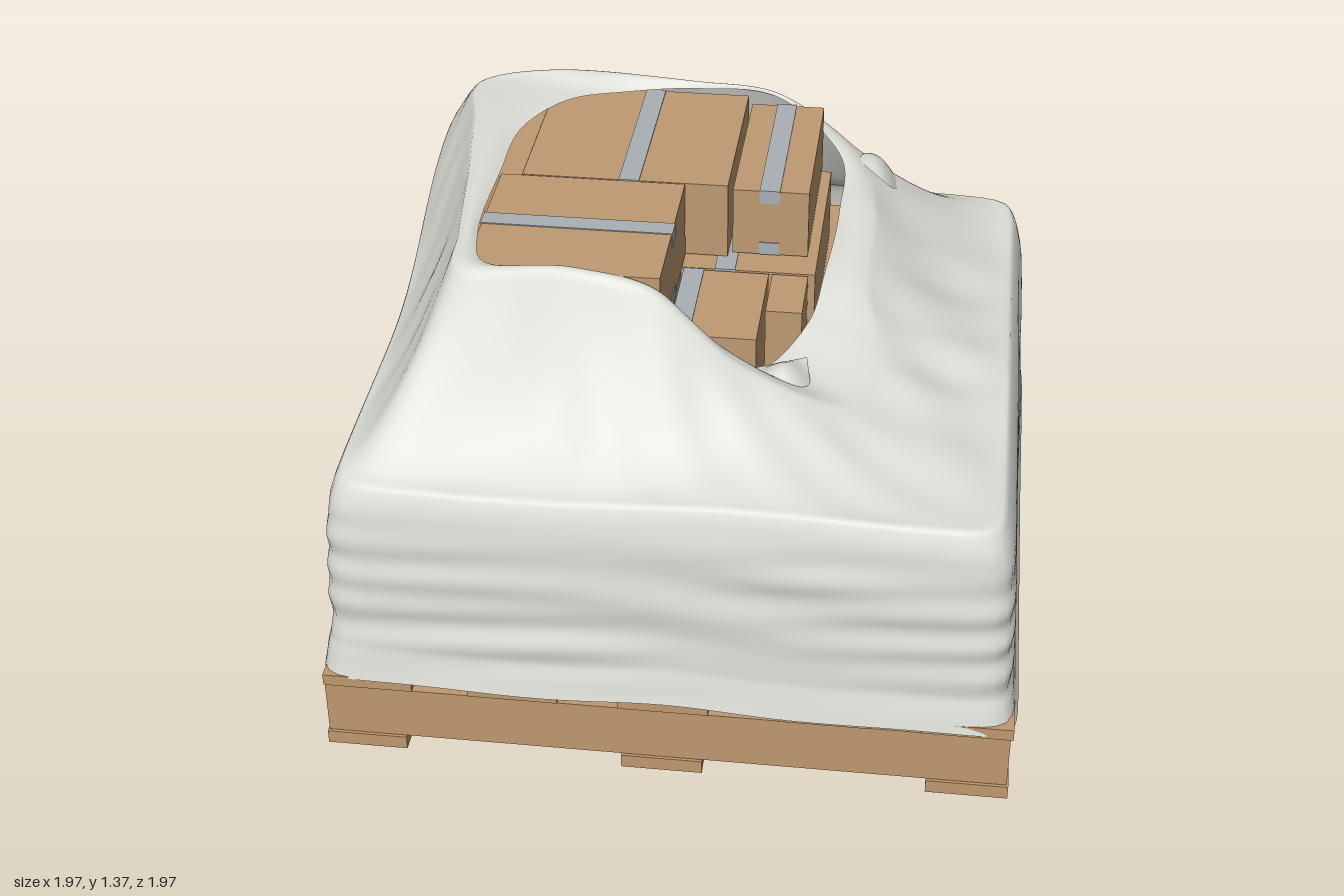
import * as THREE from 'three';

const mat = (color, side = THREE.FrontSide) => new THREE.MeshStandardMaterial({ color, side });
const wood = mat(0xbf9870);
const card = mat(0xbf9a72);
const tapeMat = mat(0xaab0b4);
const film = mat(0xdcddd6, THREE.DoubleSide);

// Box given by its minimum and maximum along each axis
function block(parent, name, material, x0, x1, y0, y1, z0, z1) {
  const m = new THREE.Mesh(new THREE.BoxGeometry(x1 - x0, y1 - y0, z1 - z0), material);
  m.position.set((x0 + x1) / 2, (y0 + y1) / 2, (z0 + z1) / 2);
  m.name = name;
  parent.add(m);
}

// Smooth sheet of cols x rows cells, fn(u, v) gives each point
function sheet(parent, name, cols, rows, closed, fn) {
  const pos = [], index = [];
  const w = closed ? cols : cols + 1;
  for (let j = 0; j <= rows; j++)
    for (let i = 0; i < w; i++) pos.push(...fn(i / cols, j / rows));
  for (let j = 0; j < rows; j++)
    for (let i = 0; i < cols; i++) {
      const a = j * w + i, b = j * w + (i + 1) % w;
      index.push(a, a + w, b, b, a + w, b + w);
    }
  const g = new THREE.BufferGeometry();
  g.setAttribute('position', new THREE.Float32BufferAttribute(pos, 3));
  g.setIndex(index);
  g.computeVertexNormals();
  const m = new THREE.Mesh(g, film);
  m.name = name;
  parent.add(m);
}

function buildPallet() {
  const g = new THREE.Group();
  g.name = 'pallet';
  for (const z of [-0.92, 0.01, 0.935]) block(g, 'stringer', wood, -0.965, 0.965, 0.045, 0.213, z - 0.032, z + 0.032);
  for (const x of [-0.855, -0.005, 0.855]) block(g, 'bottomBoard', wood, x - 0.115, x + 0.115, 0, 0.042, -0.953, 0.973);
  for (const x of [-0.84, -0.425, 0, 0.45, 0.845]) block(g, 'deckBoard', wood, x - 0.127, x + 0.127, 0.216, 0.252, -0.953, 0.973);
  return g;
}

// Carton with an optional tape strip along one axis, folded over both ends
function carton(parent, x0, x1, y0, y1, z0, z1, axis, at) {
  block(parent, 'carton', card, x0, x1, y0, y1, z0, z1);
  if (!axis) return;
  const t = 0.003, h = 0.03, fold = 0.04;
  const strip = (a0, a1, b0, b1) => axis === 'x'
    ? block(parent, 'tape', tapeMat, a0, a1, b0, b1, at - h, at + h)
    : block(parent, 'tape', tapeMat, at - h, at + h, b0, b1, a0, a1);
  const [s, e] = axis === 'x' ? [x0, x1] : [z0, z1];
  strip(s - t, e + t, y1, y1 + t);
  for (const [a0, a1] of [[s - t, s], [e, e + t]]) {
    strip(a0, a1, y1 - fold, y1);
    strip(a0, a1, y0, y0 + fold);
  }
}

function buildCartons() {
  const g = new THREE.Group();
  g.name = 'cartons';
  // Base layers, mostly covered
  for (let i = 0; i < 3; i++)
    for (let k = 0; k < 3; k++) {
      const x = -0.86 + i * 0.575, z = -0.86 + k * 0.575;
      carton(g, x, x + 0.565, 0.254, 0.54, z, z + 0.565);
      carton(g, x, x + 0.574, 0.545, 0.835, z, z + 0.574);
    }
  // Middle layer
  carton(g, -0.6, -0.07, 0.84, 1.075, -0.02, 0.43);
  carton(g, -0.06, 0.19, 0.84, 1.075, 0.005, 0.365, 'z', -0.03);
  carton(g, 0.2, 0.305, 0.84, 1.075, 0.005, 0.21);
  carton(g, -0.2, 0.325, 0.84, 1.075, -0.64, -0.005, 'z', 0.06);
  carton(g, -0.69, -0.21, 0.84, 1.075, -0.64, -0.03);
  // Top layer
  carton(g, -0.605, -0.065, 1.08, 1.315, -0.07, 0.465, 'x', 0.195);
  carton(g, -0.545, 0.06, 1.08, 1.315, -0.66, -0.075, 'z', -0.23);
  carton(g, 0.072, 0.295, 1.08, 1.29, -0.655, -0.1, 'z', 0.18);
  carton(g, -0.67, -0.555, 1.08, 1.29, -0.63, -0.1);
  return g;
}

// Opening edge and the ridge around it, every 22.5 degrees from +x towards +z
const loop = pts => new THREE.CatmullRomCurve3(pts.map(p => new THREE.Vector3(...p)), true, 'centripetal');
const rim = loop([
  [0.35, 1.07, -0.02], [0.32, 1.02, 0.17], [0.2, 0.97, 0.35], [0.07, 1.11, 0.44],
  [-0.08, 1.29, 0.475], [-0.3, 1.325, 0.45], [-0.55, 1.325, 0.45], [-0.6, 1.325, 0.3],
  [-0.605, 1.33, -0.05], [-0.59, 1.33, -0.35], [-0.48, 1.335, -0.53], [-0.32, 1.33, -0.61],
  [-0.1, 1.33, -0.66], [0.15, 1.31, -0.67], [0.35, 1.15, -0.62], [0.37, 1.1, -0.35]]);
const ridge = loop([
  [0.48, 1.06, 0], [0.52, 0.99, 0.24], [0.46, 0.96, 0.48], [0.2, 1.07, 0.53],
  [-0.06, 1.25, 0.52], [-0.33, 1.325, 0.495], [-0.62, 1.32, 0.5], [-0.655, 1.325, 0.3],
  [-0.7, 1.33, -0.05], [-0.75, 1.33, -0.38], [-0.78, 1.32, -0.66], [-0.55, 1.365, -0.67],
  [-0.1, 1.34, -0.685], [0.17, 1.3, -0.685], [0.41, 1.12, -0.69], [0.48, 1.1, -0.36]]);

// Rounded-square outline of the load at angle a
function outline(a, half) {
  const n = 24, c = Math.cos(a), s = Math.sin(a);
  const r = half / Math.pow(Math.abs(c) ** n + Math.abs(s) ** n, 1 / n);
  return [r * c, r * s - 0.005];
}

function wrapPoint(u, v) {
  const a = u * Math.PI * 2;
  // The film stands higher and fuller at the back corner
  const tall = Math.exp(-(((a - 1.25 * Math.PI) / 0.6) ** 2));
  const top = 0.87 + 0.185 * tall + 0.01 * Math.sin(5 * a + 1);
  const bottom = 0.24 - 0.05 * Math.max(0, Math.cos(a)) ** 2 + 0.007 * Math.sin(9 * a);
  const shoulder = 0.903 + 0.035 * tall;
  // Wall with horizontal stretch folds
  if (v <= 0.55) {
    const k = v / 0.55;
    const y = bottom + (top - bottom) * k;
    const fold = 0.006 * Math.sin(y * 31 + 4 * Math.sin(2 * a + 1)) * Math.sin(1.5 * a + 4 * y) ** 2
      + 0.004 * Math.sin(y * 57 - 6 * Math.sin(a + 2)) * Math.sin(2.5 * a - 3 * y + 1) ** 2;
    const wall = 0.984 - 0.02 * Math.min(1, k * 6) - 0.025 * k;
    const half = wall + (shoulder - 0.939) * k ** 10 + fold * Math.sin(Math.PI * Math.min(1, k + 0.05));
    const [x, z] = outline(a, half);
    return [x, y, z];
  }
  const [sx, sz] = outline(a, shoulder);
  const r = ridge.getPoint(u);
  // Sagging slope from the wall up to the ridge
  if (v <= 0.88) {
    const s = (v - 0.55) / 0.33, bow = Math.sin(Math.PI * s);
    const sag = 1.5 - 0.55 * tall + 0.15 * Math.cos(a) + 0.2 * Math.max(0, Math.sin(a));
    const crease = bow * (0.008 * Math.sin(11 * a + 3 * s) + 0.005 * Math.sin(23 * a - 4 * s));
    return [sx + (r.x - sx) * s, top + (r.y - top) * s ** sag + crease, sz + (r.z - sz) * s];
  }
  // Turned-in edge around the opening
  const s = (v - 0.88) / 0.12;
  const e = rim.getPoint(u);
  const puff = 0.012 * Math.sin(Math.PI * s);
  return [r.x + (e.x - r.x) * s, r.y + (e.y - r.y) * s + puff, r.z + (e.z - r.z) * s];
}

// Loose four-cornered piece of film with a slight bulge
function flap(parent, a, b, c, d, bulge) {
  sheet(parent, 'looseFilm', 12, 12, false, (u, v) => {
    const p = [0, 1, 2].map(i => (a[i] * (1 - u) + b[i] * u) * (1 - v) + (d[i] * (1 - u) + c[i] * u) * v);
    p[1] += bulge * Math.sin(Math.PI * u) * Math.sin(Math.PI * v);
    return p;
  });
}

export function createModel() {
  const model = new THREE.Group();
  model.name = 'wrappedPallet';
  model.add(buildPallet(), buildCartons());
  const wrap = new THREE.Group();
  wrap.name = 'stretchWrap';
  sheet(wrap, 'wrapFilm', 256, 110, true, wrapPoint);
  flap(wrap, [0.36, 1.14, -0.68], [0.4, 0.9, -0.9], [0.57, 0.91, -0.85], [0.52, 1.09, -0.53], 0.08);
  flap(wrap, [0.19, 0.98, 0.36], [0.19, 0.95, 0.54], [0.37, 0.94, 0.52], [0.33, 1.0, 0.32], 0.06);
  flap(wrap, [0.97, 0.23, -0.74], [0.975, 0.18, -0.8], [0.985, 0.19, -0.82], [0.975, 0.23, -0.89], 0);
  model.add(wrap);
  return model;
}
